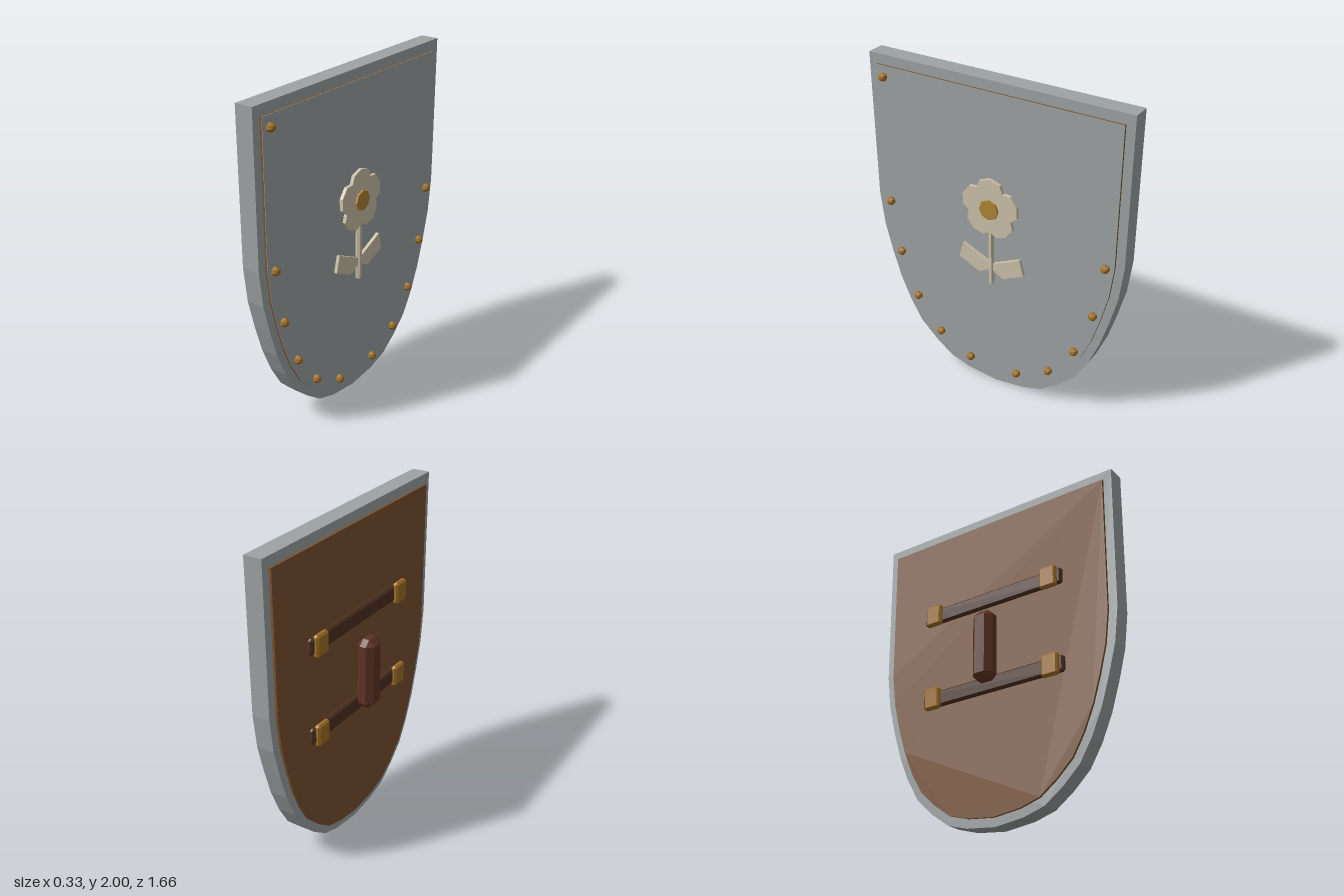
import * as THREE from 'three';
import { ConvexGeometry } from 'three/addons/geometries/ConvexGeometry.js';

const material = (name, color) => {
  const m = new THREE.MeshStandardMaterial({ color, flatShading: true });
  m.name = name;
  return m;
};

// Flat outline in (z, y), made into a plate between two x positions
function plate(points, x0, x1) {
  const shape = new THREE.Shape(points.map(([z, y]) => new THREE.Vector2(-z, y)));
  const g = new THREE.ExtrudeGeometry(shape, { depth: x1 - x0, bevelEnabled: false });
  return g.rotateY(Math.PI / 2).translate(x0, 0, 0);
}

// Box with all edges cut off by c
function chamferBox(w, h, d, c) {
  const pts = [];
  for (const sx of [-1, 1]) for (const sy of [-1, 1]) for (const sz of [-1, 1]) {
    const [x, y, z] = [w / 2, h / 2, d / 2];
    pts.push(new THREE.Vector3(sx * x, sy * (y - c), sz * (z - c)));
    pts.push(new THREE.Vector3(sx * (x - c), sy * y, sz * (z - c)));
    pts.push(new THREE.Vector3(sx * (x - c), sy * (y - c), sz * z));
  }
  return new ConvexGeometry(pts);
}

export function createModel() {
  const group = new THREE.Group();
  group.name = 'shield';
  const steel = material('steel', 0x9da2a2);
  const wood = material('wood', 0x7a5230);
  const strapLeather = material('strapLeather', 0x4e3020);
  const gripLeather = material('gripLeather', 0x5f3424);
  const brass = material('brass', 0xa07026);
  const gold = material('gold', 0xb08436);
  const cream = material('cream', 0xcbc1a9);

  const add = (name, geometry, mat, x = 0, y = 0, z = 0) => {
    const mesh = new THREE.Mesh(geometry, mat);
    mesh.name = name;
    mesh.position.set(x, y, z);
    group.add(mesh);
    return mesh;
  };

  // Shield outline: half profile mirrored
  const half = [[0.83, 2], [0.823, 1.1], [0.797, 0.89], [0.75, 0.71], [0.697, 0.54],
    [0.63, 0.385], [0.55, 0.25], [0.44, 0.146], [0.324, 0.062], [0.19, 0.022]];
  const outline = [...half, [0, 0], ...half.map(([z, y]) => [-z, y]).reverse()];
  const inner = outline.map(([z, y]) => [z * 0.935, 0.053 + y * 0.943]);

  add('rim', plate(outline, -0.015, 0.095), steel);
  add('board', plate(inner, -0.03, 0.106), wood);
  add('facePlate', plate(inner, 0.106, 0.109), steel);

  // Rivets along the edge, with a single one in the top corner
  const rivet = new THREE.SphereGeometry(0.027, 7, 5).rotateZ(-Math.PI / 2);
  const rivets = [[0.72, 1.08], [0.66, 0.745], [0.55, 0.455], [0.385, 0.245], [0.165, 0.133]];
  for (const [z, y] of rivets) for (const s of [-1, 1]) add('rivet', rivet, brass, 0.121, y, s * z);
  add('rivet', rivet, brass, 0.121, 1.875, 0.725);

  // Flower emblem
  const petals = [];
  for (let i = 0; i < 5; i++) {
    for (const [a, r] of [[-36, 0.145], [-22, 0.178], [0, 0.187], [22, 0.178]]) {
      const t = THREE.MathUtils.degToRad(i * 72 + a);
      petals.push([Math.sin(t) * r, 1.25 + Math.cos(t) * r]);
    }
  }
  add('flowerPetals', plate(petals, 0.13, 0.151), cream);
  const centre = new THREE.CylinderGeometry(0.062, 0.062, 0.03, 8).rotateZ(-Math.PI / 2);
  add('flowerCentre', centre, gold, 0.148, 1.248, 0);
  add('flowerStem', new THREE.CylinderGeometry(0.018, 0.018, 0.44, 6), cream, 0.133, 0.97, 0);
  const leaf = [[0, 0.88], [0.191, 0.968], [0.218, 0.867], [0.08, 0.804], [0, 0.85]];
  for (const s of [-1, 1]) {
    add('leaf', plate(leaf.map(([z, y]) => [s * z, y]), 0.12, 0.14), cream);
  }

  // Arm straps with buckles, and the hand grip
  const strap = chamferBox(0.035, 0.1, 0.99, 0.012);
  const buckle = chamferBox(0.038, 0.135, 0.11, 0.012);
  for (const y of [1.39, 0.837]) {
    add('strap', strap, strapLeather, -0.046, y, 0);
    for (const s of [-1, 1]) add('buckle', buckle, brass, -0.068, y, s * 0.415);
  }
  add('grip', chamferBox(0.11, 0.44, 0.14, 0.036), gripLeather, -0.115, 1.05, 0);

  return group;
}
